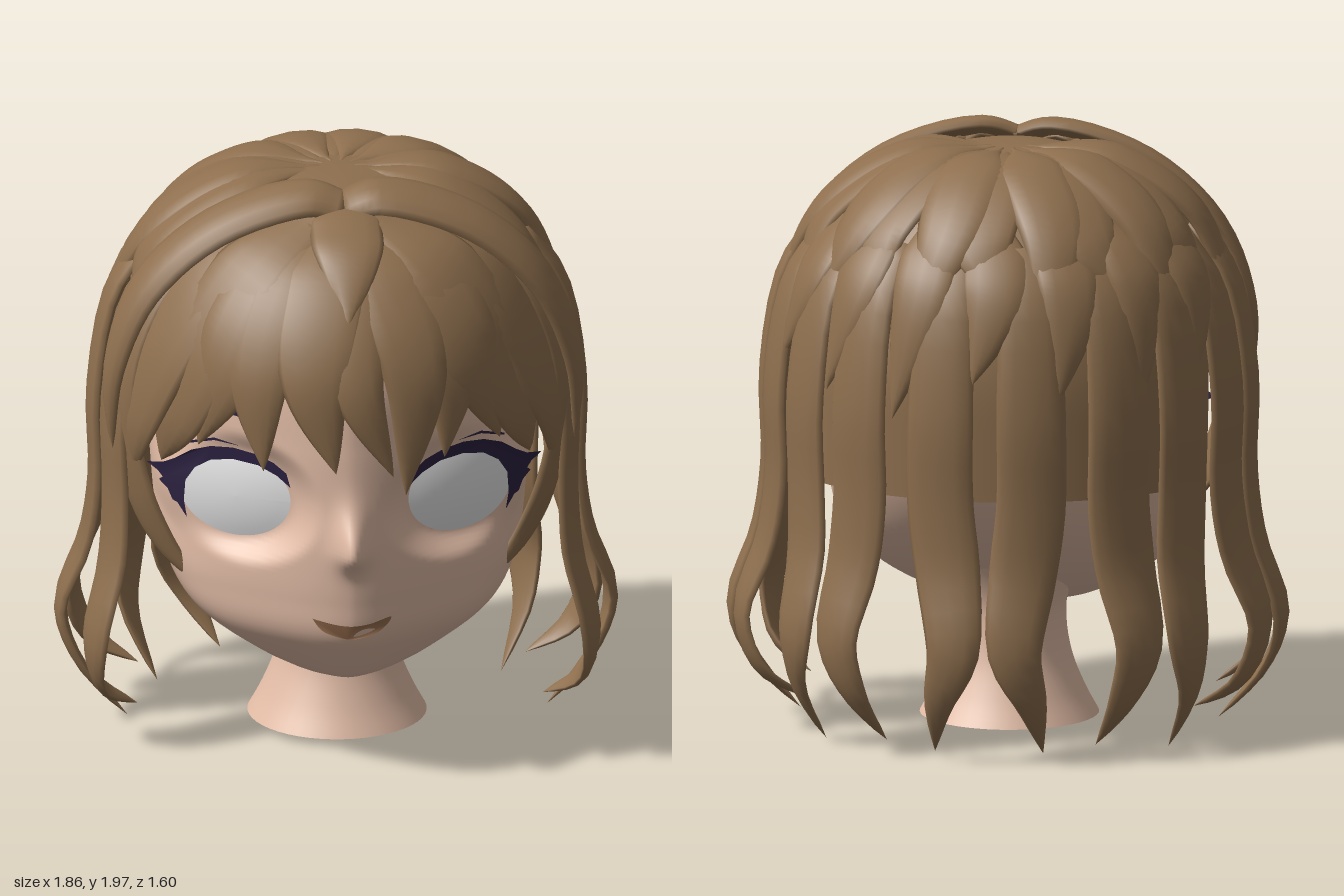
import * as THREE from 'three';

const mat = (name, color) => new THREE.MeshStandardMaterial({ name, color, side: THREE.DoubleSide });
const { smoothstep, lerp, degToRad } = THREE.MathUtils;

// Closed-around grid of points: rows run upward (or back along a strand), columns wrap
function grid(rows, cols, fn) {
  const pos = [], idx = [];
  for (let i = 0; i <= rows; i++) {
    for (let j = 0; j < cols; j++) {
      pos.push(...fn(i / rows, j / cols));
      if (i === rows) continue;
      const a = i * cols + j, b = i * cols + (j + 1) % cols;
      idx.push(a, b, a + cols, b, b + cols, a + cols);
    }
  }
  const g = new THREE.BufferGeometry();
  g.setAttribute('position', new THREE.Float32BufferAttribute(pos, 3));
  g.setIndex(idx);
  g.computeVertexNormals();
  return g;
}

// Head sections: height, half width, front z, back z
const SECTIONS = [
  [0.352, 0.0, 0.48, 0.44], [0.36, 0.1, 0.525, 0.33], [0.385, 0.205, 0.56, 0.18], [0.44, 0.33, 0.61, 0.0],
  [0.55, 0.49, 0.69, -0.2], [0.68, 0.575, 0.705, -0.36], [0.82, 0.605, 0.705, -0.48], [1.0, 0.62, 0.69, -0.57],
  [1.2, 0.63, 0.68, -0.6], [1.45, 0.61, 0.65, -0.6], [1.65, 0.52, 0.55, -0.52], [1.8, 0.36, 0.37, -0.38], [1.88, 0, 0, 0],
];
const sections = new THREE.CubicInterpolant(SECTIONS.map(s => s[0]), SECTIONS.flatMap(s => s.slice(1)), 3, new Array(3));
const section = y => {
  const [w, f, b] = sections.evaluate(y);
  return { w: Math.max(w, 0), mid: (f + b) / 2, half: (f - b) / 2 };
};
const EYE = { x: 0.37, y: 0.998, rx: 0.176, ry: 0.145 };
const eyePlane = x => 0.475 - (Math.abs(x) - EYE.x) * 0.54;

// Front of the head at angle a: flattened cheeks, nose and shallow eye sockets
function faceZ(a, y) {
  const { w, mid, half } = section(y), c = Math.cos(a), x = w * Math.sin(a), dy = y - 0.87;
  let z = mid + half * c;
  if (c <= 0) return z;
  z -= 0.135 * w * Math.abs(Math.sin(2 * a)) ** 1.5 * c;
  z += 0.085 * Math.exp(-((x / 0.055) ** 2) - (dy / (dy > 0 ? 0.12 : 0.06)) ** 2);
  const d = Math.hypot((Math.abs(x) - EYE.x) / EYE.rx, (y - EYE.y) / EYE.ry);
  return lerp(z, eyePlane(x) - 0.012, 1 - smoothstep(d, 1.0, 1.6));
}
const onFace = lift => (x, y) => faceZ(Math.asin(x / section(y).w), y) + lift;
function headGeometry() {
  return grid(100, 160, (v, u) => {
    const k = 2 * u - 1, a = Math.PI * k * (0.5 + 0.5 * k * k);
    const y = lerp(0.352, 1.88, v < 0.1 ? v * v * 10 : v);
    return [section(y).w * Math.sin(a), y, faceZ(a, y)];
  });
}

// Flat outline laid on a surface given by z(x, y)
function patch(points, zOf, curved = true) {
  const pts = points.map(p => new THREE.Vector2(...p));
  const shape = new THREE.Shape(curved ? new THREE.SplineCurve([...pts, pts[0]]).getPoints(points.length * 5).slice(0, -1) : pts);
  const g = new THREE.ShapeGeometry(shape), p = g.attributes.position;
  for (let i = 0; i < p.count; i++) p.setZ(i, zOf(p.getX(i), p.getY(i)));
  g.computeVertexNormals();
  return g;
}

// Hair surface: phi around from the front, t down from the crown (past 90 each degree is 0.01 lower)
function scalp(phi, t, off = 0) {
  const a = degToRad(phi), e = degToRad(Math.min(t, 90));
  const taper = Math.cos(a) > 0 ? 1 - 0.07 * Math.sin(2 * a) ** 2 : 1;
  const s = taper * Math.sin(e) ** 0.77;
  const y = t > 90 ? 1.2 - (t - 90) * 0.01 : 1.2 + (0.76 + off) * Math.cos(e);
  return new THREE.Vector3((0.76 + off) * s * Math.sin(a), y, (0.7 + off) * s * Math.cos(a));
}
function capGeometry() {
  return grid(30, 72, (v, u) => {
    const phi = u * 360, side = Math.min(phi, 360 - phi);
    const low = lerp(60, 119, smoothstep(side, 106, 120));
    return scalp(phi, low * (1 - v)).toArray();
  });
}

// Tapered lock of hair with a lens section, lying flat against the head
function lock(points, width, thick = 0.035, root = 0.5, belly = 0.45) {
  const curve = new THREE.CatmullRomCurve3(points);
  const p = new THREE.Vector3(), n = new THREE.Vector3(), b = new THREE.Vector3();
  return grid(26, 12, (v, u) => {
    const s = Math.max(0, (v * 26 - 1) / 25);
    curve.getPoint(s, p);
    const t = curve.getTangent(s);
    n.set(p.x, p.y - Math.min(p.y, 1.15), p.z);
    n.addScaledVector(t, -n.dot(t)).normalize();
    b.crossVectors(t, n);
    const k = Math.max(0, (s - belly) / (1 - belly));
    const size = v === 0 ? 0 : lerp(root, 1, smoothstep(s, 0, 0.3)) * (1 - k ** 1.8);
    const a = -u * Math.PI * 2, sn = Math.sin(a);
    return p.clone().addScaledVector(b, width * size * Math.cos(a))
      .addScaledVector(n, thick * Math.sqrt(size) * (sn < 0 ? sn * 0.4 : sn)).toArray();
  });
}
const path = list => list.map(q => scalp(...q));
const mirror = list => list.map(([phi, ...r]) => [-phi, ...r]);

export function createModel() {
  const model = new THREE.Group();
  model.name = 'head';
  const skin = mat('skin', 0xe2bca6), hair = mat('hair brown', 0x8e6f4e), white = mat('eye white', 0xf6f6f6);
  const dark = mat('lash purple', 0x2b2140), lip = mat('mouth brown', 0x9a7050);
  const add = (name, geometry, material) => {
    const m = new THREE.Mesh(geometry, material);
    m.name = name;
    model.add(m);
  };

  // Head, neck and mouth
  add('face', headGeometry(), skin);
  const neck = [[0.295, 0.055], [0.25, 0.14], [0.207, 0.25], [0.188, 0.36], [0.195, 0.46], [0.25, 0.58], [0.34, 0.7]].map(p => new THREE.Vector2(...p));
  add('neck', new THREE.LatheGeometry(new THREE.SplineCurve(neck).getPoints(28), 48), skin);
  add('mouth', patch([[-0.13, 0.626], [-0.06, 0.612], [0, 0.607], [0.06, 0.612], [0.13, 0.626], [0.09, 0.58], [0, 0.558], [-0.09, 0.58]], onFace(0.007)), lip);

  // Eyes, lashes, lid creases and brows
  for (const [s, side] of [[1, 'left'], [-1, 'right']]) {
    const flip = pts => pts.map(([x, y]) => [x * s, y]);
    const eye = new THREE.RingGeometry(0, 1, 48, 6), p = eye.attributes.position;
    for (let i = 0; i < p.count; i++) {
      const u = p.getX(i), v = p.getY(i), x = s * EYE.x + u * EYE.rx;
      p.setXYZ(i, x, EYE.y + v * EYE.ry, eyePlane(x) + 0.025 * (1 - u * u - v * v));
    }
    eye.computeVertexNormals();
    add(side + 'Eye', eye, white);
    const lashZ = x => eyePlane(x) + 0.036 - 0.4 * Math.max(0, Math.abs(x) - 0.54);
    add(side + 'Lash', patch(flip([[0.197, 1.06], [0.21, 1.108], [0.25, 1.138], [0.31, 1.16], [0.38, 1.17], [0.45, 1.163], [0.51, 1.14], [0.56, 1.1], [0.6, 1.072], [0.65, 1.058],
      [0.615, 1.038], [0.6, 1.02], [0.612, 1.008], [0.585, 0.985], [0.57, 0.95], [0.555, 0.945], [0.525, 0.9], [0.535, 0.96], [0.53, 1.03],
      [0.5, 1.08], [0.45, 1.115], [0.38, 1.13], [0.3, 1.122], [0.24, 1.095]]), lashZ, false), dark);
    add(side + 'LidCrease', patch(flip([[0.36, 1.185], [0.44, 1.2], [0.52, 1.175], [0.52, 1.167], [0.44, 1.191]]), x => eyePlane(x) + 0.05, false), dark);
    add(side + 'Brow', patch(flip([[0.24, 1.27], [0.3, 1.3], [0.4, 1.305], [0.5, 1.27], [0.4, 1.28], [0.3, 1.273]]), onFace(0.012)), dark);
  }

  // Hair cap and raised band at the front parting
  add('hairCap', capGeometry(), hair);
  for (const s of [1, -1]) {
    const band = [[0, 1.92, 0.29], [0.12, 1.95, 0.28], [0.42, 1.855, 0.28], [0.645, 1.65, 0.28], [0.75, 1.38, 0.29], [0.76, 1.1, 0.3]];
    add('partingBand', lock(band.map(([x, y, z]) => new THREE.Vector3(x * s, y, z)), 0.1, 0.045, 0.75, 0.5), hair);
  }

  // Layered pointed leaves over the crown
  for (let i = 0; i < 13; i++) {
    const phi = 78 + i * 17, wave = i % 2 ? 1 : -1;
    add('crownLeaf', lock(path([[phi, 2, -0.01], [phi + wave * 2, 22, 0.015], [phi + wave * 3, 46, 0.03], [phi - wave * 3, 67 + wave * 5, 0.03]]),
      0.125, 0.03 + (i % 2) * 0.012, 0.08, 0.5), hair);
  }
  for (let i = 0; i < 7; i++) {
    const phi = 120 + i * 20;
    add('lowerLeaf', lock(path([[phi, 38, 0.01], [phi + 2, 60, 0.035], [phi - 3, 82 + (i % 3) * 5, 0.04]]), 0.11, 0.035, 0.5, 0.4), hair);
  }

  // Long locks around the sides and back: angle, tip depth, sway, flare
  const LONG = [[74, 196, 4, 0.13], [92, 205, -2, 0.14], [110, 196, 3, 0.13], [128, 207, -3, 0.1], [147, 203, 3, 0.09], [169, 205, -4, 0.08]];
  for (const s of [1, -1]) for (const [phi, tip, sway, flare] of LONG) {
    const list = [[phi, 47, 0.01], [phi, 64, 0.03], [phi, 90, 0.03], [phi, 120, 0.025], [phi - sway * 0.5, 143, flare * 0.4],
      [phi - sway, 168, flare], [phi, 186, flare * 0.6], [phi + sway, tip, -0.07]];
    add('longLock', lock(path(s > 0 ? list : mirror(list)), 0.115, 0.035, 0.75, 0.5), hair);
  }

  // Side fringe, mirrored
  const SIDE = [
    [[[25, 25, 0.01], [45, 48, 0.04], [55, 68, 0.05], [62, 88, 0.05], [66, 110, 0.03]], 0.17],
    [[[12, 22, 0.01], [30, 45, 0.05], [40, 65, 0.07], [48, 84, 0.06], [55, 101, 0.03]], 0.17],
    [[[14, 28, 0.01], [27, 52, 0.06], [32, 70, 0.085], [40, 90, 0.07]], 0.15],
    [[[50, 36, 0.02], [66, 56, 0.03], [69, 80, 0.04], [66, 115, 0.0], [60, 132, -0.04], [50, 146, -0.09]], 0.1],
  ];
  for (const [list, width] of SIDE) {
    add('leftFringe', lock(path(list), width, 0.035, 0.5, 0.5), hair);
    add('rightFringe', lock(path(mirror(list)), width, 0.035, 0.5, 0.5), hair);
  }

  // Centre fringe
  const CENTRE = [
    [[[-8, 22, 0], [-20, 48, 0.055], [-23, 70, 0.09], [-21, 94, 0.085]], 0.13],
    [[[-2, 22, 0], [-7, 48, 0.055], [-9, 70, 0.09], [-4, 93, 0.085]], 0.135],
    [[[3, 24, 0], [1, 48, 0.045], [1, 72, 0.085], [9, 95, 0.085]], 0.1],
    [[[7, 22, 0], [12, 48, 0.05], [15, 70, 0.09], [12, 102, 0.08]], 0.13],
    [[[12, 24, 0], [20, 48, 0.045], [25, 70, 0.08], [22, 91, 0.08]], 0.12],
    [[[0, 17, 0], [0, 27, 0.015], [0, 40, 0.055], [-1, 58, 0.095]], 0.12],
  ];
  for (const [list, width] of CENTRE) add('centreFringe', lock(path(list), width, 0.03, 0.5, 0.5), hair);
  return model;
}
